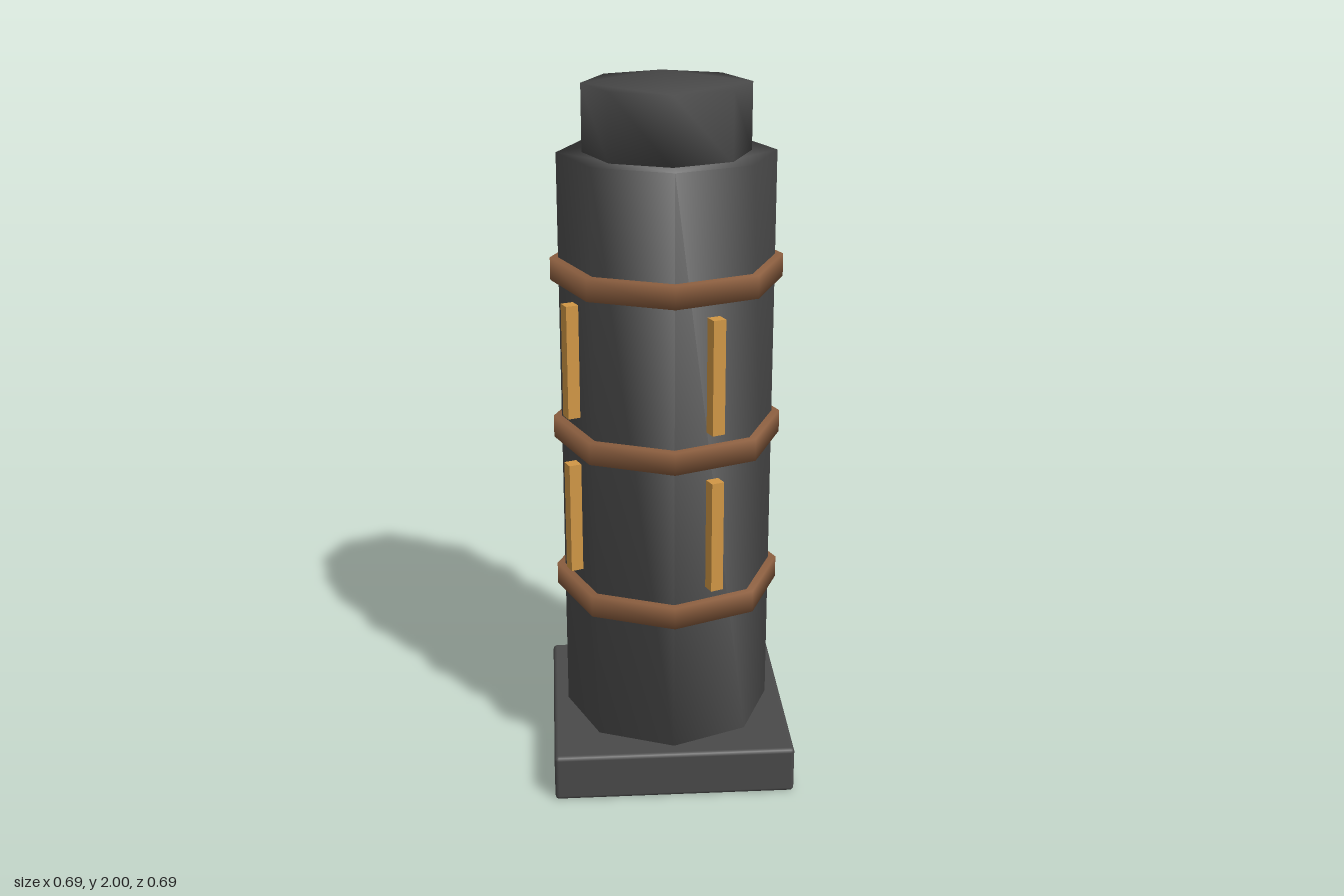
import * as THREE from 'three';
import { mergeVertices } from 'three/addons/utils/BufferGeometryUtils.js';
import { RoundedBoxGeometry } from 'three/addons/geometries/RoundedBoxGeometry.js';

// Eight-sided solid prism from y0 to y1, softly shaded across all its edges
function prism(radius, y0, y1) {
  const points = [];
  for (let i = 0; i < 8; i++) {
    const a = (i / 8) * Math.PI * 2;
    points.push(new THREE.Vector2(Math.cos(a) * radius, Math.sin(a) * radius));
  }
  const solid = new THREE.ExtrudeGeometry(new THREE.Shape(points), { depth: y1 - y0, bevelEnabled: false });
  solid.rotateX(-Math.PI / 2).translate(0, y0, 0);
  solid.deleteAttribute('normal');
  solid.deleteAttribute('uv');
  const merged = mergeVertices(solid, 1e-4);
  merged.computeVertexNormals();
  return merged;
}

export function createModel() {
  const model = new THREE.Group();
  model.name = 'column';

  const material = (name, color) => {
    const m = new THREE.MeshStandardMaterial({ color });
    m.name = name;
    return m;
  };
  const stone = material('darkStone', 0x4a4a4a);
  const copper = material('copperBrown', 0x8b5e3f);
  const gold = material('amberGold', 0xd09645);

  const add = (name, geometry, mat) => {
    const mesh = new THREE.Mesh(geometry, mat);
    mesh.name = name;
    model.add(mesh);
    return mesh;
  };

  // Square plinth with slightly softened edges
  add('base', new RoundedBoxGeometry(0.694, 0.14, 0.694, 2, 0.012), stone).position.y = 0.07;

  // Octagonal shaft and the narrower cap on it
  add('shaft', prism(0.302, 0.13, 1.815), stone);
  add('cap', prism(0.232, 1.81, 2), stone);

  // Three bands round the shaft
  for (const y of [0.562, 1.027, 1.492]) add('band', prism(0.325, y - 0.032, y + 0.032), copper);

  // Upright strips on every second face, in two rows between the bands
  const strip = new THREE.BoxGeometry(0.042, 0.325, 0.037).translate(0.294, 0, 0);
  for (const y of [0.793, 1.258]) {
    for (let i = 0; i < 4; i++) {
      const mesh = add('strip', strip, gold);
      mesh.position.y = y;
      mesh.rotation.y = Math.PI / 8 + (i * Math.PI) / 2;
    }
  }

  return model;
}
